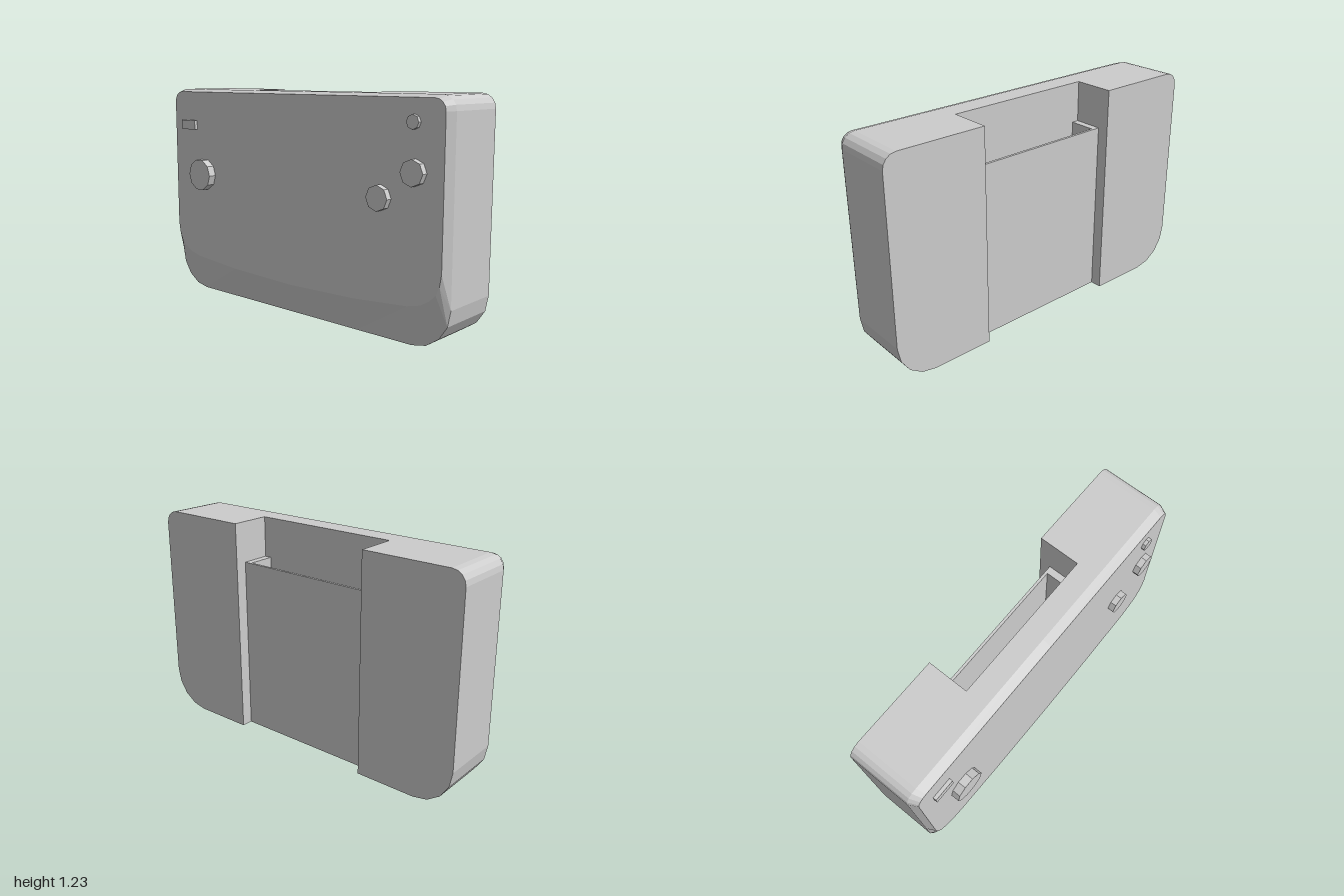
import * as THREE from 'three';

export function createModel() {
  const model = new THREE.Group();
  model.name = 'handheldConsole';
  const grey = new THREE.MeshStandardMaterial({ color: 0xcccccc });
  grey.name = 'plain grey';

  const add = (name, geometry, x = 0, y = 0, z = 0) => {
    const mesh = new THREE.Mesh(geometry, grey);
    mesh.name = name;
    mesh.position.set(x, y, z);
    model.add(mesh);
  };
  // Box given by its limits
  const box = (name, x0, x1, y0, y1, z0, z1) =>
    add(name, new THREE.BoxGeometry(x1 - x0, y1 - y0, z1 - z0), (x0 + x1) / 2, (y0 + y1) / 2, (z0 + z1) / 2);
  const facet = (geometry) => {
    const flat = geometry.index ? geometry.toNonIndexed() : geometry;
    flat.computeVertexNormals();
    return flat;
  };
  const arc = (cx, cy, r, from, to) => Array.from({ length: 5 }, (_, i) => {
    const a = from + (to - from) * i / 4;
    return [cx + r * Math.cos(a), cy + r * Math.sin(a)];
  });
  const shapeOf = (pts) => new THREE.Shape(pts.map(([x, y]) => new THREE.Vector2(x, y)));

  const top = 1.23, back = -0.22, rim = 0.13, front = 0.18, slot = 0.43, slotZ = 0.01;

  // Half outlines from bottom centre to top centre: body edge and front face
  const outer = [[0, 0], [0.43, 0], ...arc(0.78, 0.22, 0.22, -Math.PI / 2, 0), [1, 0.4],
    ...arc(0.925, 1.155, 0.075, 0, Math.PI / 2), [0, top]];
  const inner = [[0, 0.17], [0.45, 0.183], [0.78, 0.21], [0.86, 0.23], [0.91, 0.26], [0.945, 0.295],
    [0.965, 0.34], [0.975, 0.4], ...arc(0.915, 1.155, 0.06, 0, Math.PI / 2), [0, 1.215]];
  const mirror = (half) => [...half, ...half.slice(1, -1).reverse().map(([x, y]) => [-x, y])];

  // Sloped border between body edge and front face
  const o = mirror(outer), n = mirror(inner), count = o.length;
  const positions = [], index = [];
  o.forEach(([x, y], i) => {
    positions.push(x, y, rim, n[i][0], n[i][1], front);
    const a = 2 * i, b = 2 * ((i + 1) % count);
    index.push(a, b, b + 1, a, b + 1, a + 1);
  });
  const border = new THREE.BufferGeometry();
  border.setAttribute('position', new THREE.Float32BufferAttribute(positions, 3));
  border.setIndex(index);
  add('frontBevel', facet(border));
  add('frontFace', new THREE.ShapeGeometry(shapeOf(n)), 0, 0, front);

  // Body: two thick grips joined by a thin middle
  const grip = [[slot, 0], ...outer.filter(([x]) => x > slot), [slot, top]];
  for (const [name, s] of [['leftGrip', 1], ['rightGrip', -1]]) {
    const shape = shapeOf(grip.map(([x, y]) => [s * x, y]));
    add(name, new THREE.ExtrudeGeometry(shape, { depth: rim - back, bevelEnabled: false }), 0, 0, back);
  }
  box('middleBody', -slot, slot, 0, top, slotZ, rim);

  // Pocket at the back, open at the top
  box('pocketBack', -slot, slot, 0, 1, -0.155, -0.14);
  for (const [name, s] of [['pocketLeftWall', 1], ['pocketRightWall', -1]]) {
    box(name, s * 0.41 - 0.02, s * 0.41 + 0.02, 0, 1, -0.14, slotZ);
  }
  box('pocketFloor', -0.39, 0.39, 0, 0.1, -0.14, slotZ);

  // Controls
  const button = (name, x, y, r, sides, height, turn = 0) => {
    const g = new THREE.CylinderGeometry(r, r, height, sides).rotateX(Math.PI / 2).rotateZ(turn);
    add(name, facet(g), x, y, front + height / 2);
  };
  button('directionPad', -0.71, 0.725, 0.093, 10, 0.046, Math.PI / 2);
  button('lowerButton', 0.612, 0.725, 0.066, 8, 0.034);
  button('upperButton', 0.815, 0.865, 0.066, 8, 0.034);
  button('smallButton', 0.806, 1.102, 0.036, 8, 0.019);
  box('selectButton', -0.895, -0.775, 0.99, 1.045, front, 0.199);

  return model;
}
